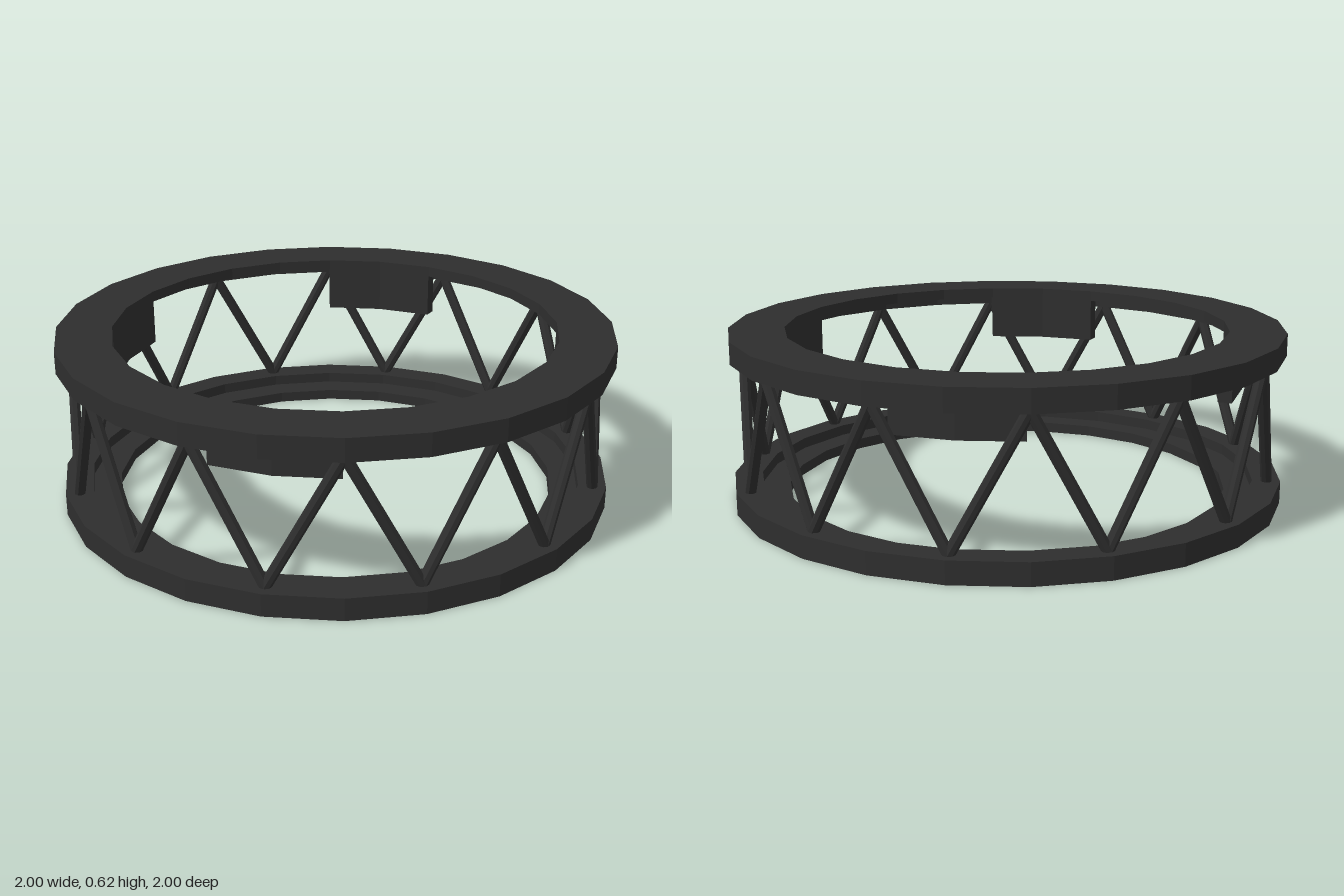
import * as THREE from 'three';

const SIDES = 24;
const STEP = (Math.PI * 2) / SIDES;

const polar = (r, i, y) =>
  new THREE.Vector3(r * Math.sin(i * STEP), y, r * Math.cos(i * STEP));

// L-shaped section: full-height outer web with a half-height inner flange
function ringGeometry() {
  const profile = [
    [0.8, 0], [1, 0], [1, 0.08], [0.9, 0.08], [0.9, 0.04], [0.8, 0.04], [0.8, 0],
  ].map(([r, y]) => new THREE.Vector2(r, y));
  return new THREE.LatheGeometry(profile, SIDES);
}

// Two-facet arc plate, extruded upwards
function plateGeometry(height) {
  const points = [];
  for (let i = -1; i <= 1; i++) points.push([0.85, i]);
  for (let i = 1; i >= -1; i--) points.push([0.8, i]);
  const shape = new THREE.Shape(points.map(([r, i]) =>
    new THREE.Vector2(r * Math.sin(i * STEP), r * Math.cos(i * STEP))));
  return new THREE.ExtrudeGeometry(shape, { depth: height, bevelEnabled: false })
    .rotateX(-Math.PI / 2);
}

export function createModel() {
  const group = new THREE.Group();
  const charcoal = new THREE.MeshStandardMaterial({ color: 0x2e2e2e, flatShading: true });
  charcoal.name = 'charcoal';

  const add = (name, geometry) => {
    const mesh = new THREE.Mesh(geometry, charcoal);
    mesh.name = name;
    group.add(mesh);
    return mesh;
  };

  // Rings, the upper one turned over so its flange is on top
  add('lowerRing', ringGeometry());
  const upper = add('upperRing', ringGeometry());
  upper.rotation.x = Math.PI;
  upper.position.y = 0.62;

  // Zigzag struts between the rings
  const up = new THREE.Vector3(0, 1, 0);
  for (let i = 0; i < SIDES; i++) {
    const node = (k) => polar(0.95, k, k % 2 ? 0.54 : 0.08);
    const [a, b] = i % 2 ? [node(i + 1), node(i)] : [node(i), node(i + 1)];
    const dir = b.clone().sub(a);
    const strut = add('strut', new THREE.CylinderGeometry(0.02, 0.02, dir.length(), 8));
    strut.position.copy(a).add(b).multiplyScalar(0.5);
    strut.quaternion.setFromUnitVectors(up, dir.normalize());
  }

  // Four plates hanging under the upper flange
  for (let i = 0; i < 4; i++) {
    const plate = add('hangingPlate', plateGeometry(0.165));
    plate.position.y = 0.415;
    plate.rotation.y = (i * Math.PI) / 2;
  }

  return group;
}
